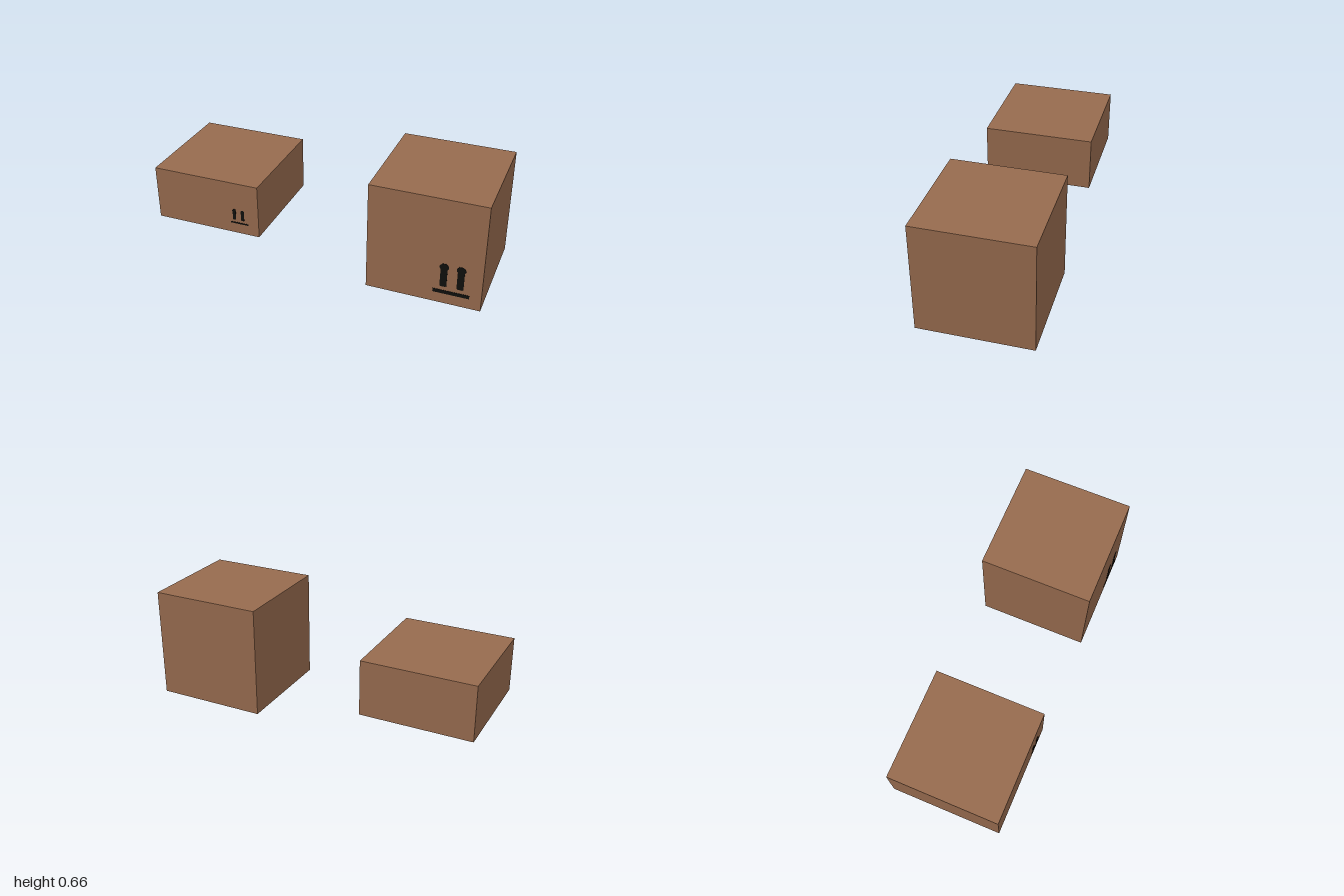
import * as THREE from 'three';

const cardboard = new THREE.MeshStandardMaterial({ color: 0x976b4e });
cardboard.name = 'cardboard brown';
const ink = new THREE.MeshStandardMaterial({ color: 0x0f0f0d });
ink.name = 'black ink';

const FRONT = 0.333;

// Upright stem with a wider, faceted rounded head
function arrowShape(x, y0, y1, stem, head) {
  const s = stem / 2, h = head / 2, neck = y1 - head * 0.72;
  return new THREE.Shape([
    [-s, y0 + s * 0.3], [-s * 0.7, y0], [s * 0.7, y0], [s, y0 + s * 0.3],
    [s, neck], [h, neck + h * 0.35], [h, y1 - h * 0.6], [h * 0.45, y1],
    [-h * 0.45, y1], [-h, y1 - h * 0.6], [-h, neck + h * 0.35], [-s, neck],
  ].map(([px, py]) => new THREE.Vector2(x + px, py)));
}

function barShape(x0, x1, y0, y1) {
  return new THREE.Shape([[x0, y0], [x1, y0], [x1, y1], [x0, y1]].map(p => new THREE.Vector2(...p)));
}

// Carton with a printed this-way-up mark on its front
function carton(name, x, y0, y1, mark) {
  const group = new THREE.Group();
  group.name = name;
  const box = new THREE.Mesh(new THREE.BoxGeometry(0.666, y1 - y0, FRONT * 2), cardboard);
  box.name = name + 'Body';
  box.position.set(x, (y0 + y1) / 2, 0);
  group.add(box);

  const shapes = mark.arrows.map(ax => arrowShape(ax, mark.y0, mark.y1, mark.stem, mark.head));
  shapes.push(barShape(...mark.bar));
  const print = new THREE.Mesh(
    new THREE.ExtrudeGeometry(shapes, { depth: 0.002, bevelEnabled: false }), ink);
  print.name = name + 'UprightMark';
  print.position.z = FRONT;
  group.add(print);
  return group;
}

export function createModel() {
  const model = new THREE.Group();
  model.name = 'cartons';
  model.add(
    carton('tallCarton', 0.667, 0, 0.663, {
      arrows: [0.782, 0.878], y0: 0.112, y1: 0.262, stem: 0.039, head: 0.052,
      bar: [0.725, 0.933, 0.065, 0.087],
    }),
    carton('flatCarton', -0.667, 0.167, 0.5, {
      arrows: [-0.489, -0.436], y0: 0.256, y1: 0.326, stem: 0.02, head: 0.024,
      bar: [-0.513, -0.4, 0.231, 0.24],
    }),
  );
  return model;
}
